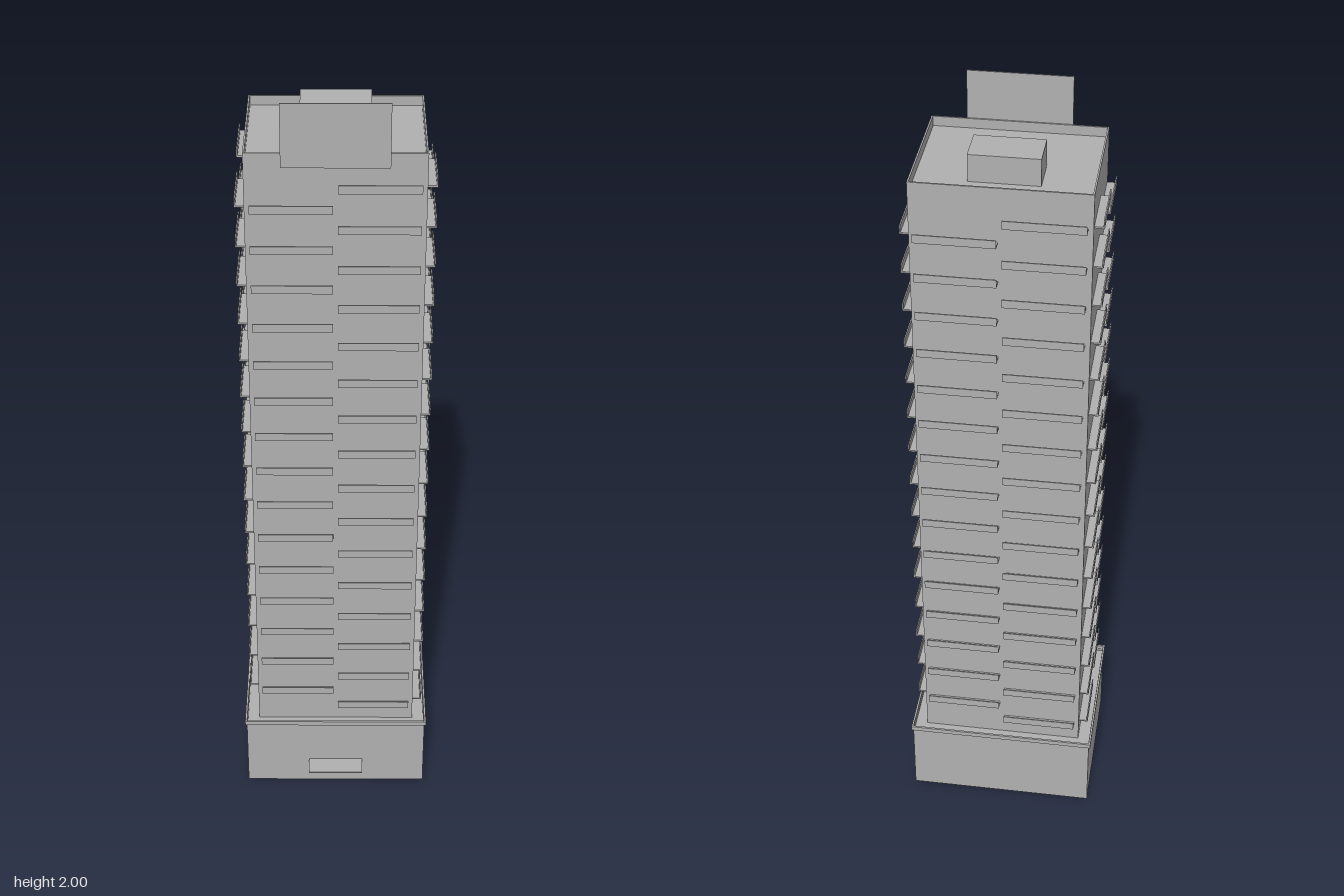
import * as THREE from 'three';

export function createModel() {
  const concrete = new THREE.MeshStandardMaterial({ color: 0xb0b0b0 });
  concrete.name = 'concreteGrey';

  const model = new THREE.Group();
  model.name = 'apartmentTower';

  function add(name, geometry, parent = model) {
    const mesh = new THREE.Mesh(geometry, concrete);
    mesh.name = name;
    parent.add(mesh);
    return mesh;
  }

  // Box given by its lower and upper limits on each axis
  function box(name, [x0, x1], [y0, y1], [z0, z1], parent) {
    const mesh = add(name, new THREE.BoxGeometry(x1 - x0, y1 - y0, z1 - z0), parent);
    mesh.position.set((x0 + x1) / 2, (y0 + y1) / 2, (z0 + z1) / 2);
    return mesh;
  }

  // Upright rectangular wall ring, open above and below
  function ring(name, halfX, [y0, y1], [z0, z1], t) {
    const rect = (Path, x, a, b) => new Path([
      new THREE.Vector2(-x, -b), new THREE.Vector2(x, -b),
      new THREE.Vector2(x, -a), new THREE.Vector2(-x, -a),
    ]);
    const shape = rect(THREE.Shape, halfX, z0, z1);
    shape.holes.push(rect(THREE.Path, halfX - t, z0 + t, z1 - t));
    const geometry = new THREE.ExtrudeGeometry(shape, { depth: y1 - y0, bevelEnabled: false });
    geometry.rotateX(-Math.PI / 2);
    add(name, geometry).position.y = y0;
  }

  // Hollow podium with a projecting rim around a sunken deck
  ring('podiumWalls', 0.2405, [0, 0.206], [-0.218, 0.169], 0.002);
  ring('podiumRim', 0.245, [0.204, 0.217], [-0.222, 0.173], 0.005);
  box('podiumDeck', [-0.239, 0.239], [0.196, 0.2], [-0.2165, 0.1675]);
  box('entranceCanopy', [-0.0725, 0.0725], [0.073, 0.077], [0.169, 0.221]);

  // Tower shaft, parapet and roof structures
  const halfX = 0.208, back = -0.184, front = 0.136;
  box('towerShaft', [-halfX, halfX], [0.2, 1.856], [back, front]);
  ring('roofParapet', halfX, [1.856, 1.88], [back, front], 0.004);
  box('roofPlantRoom', [-0.083, 0.083], [1.856, 1.923], [-0.12, -0.026]);
  box('roofScreen', [-0.124, 0.124], [1.845, 2], [front, front + 0.003]);

  // Balcony: floor slab with an upright front panel, facing +z from the origin
  function balcony(width, parent) {
    const group = new THREE.Group();
    group.name = 'balcony';
    box('balconySlab', [-width / 2, width / 2], [0, 0.004], [0, 0.0235], group);
    box('balconyPanel', [-width / 2, width / 2], [0, 0.021], [0.0205, 0.0235], group);
    parent.add(group);
    return group;
  }

  // Two staggered stacks per facade: even floors on one half, odd on the other
  const midZ = -0.0245;
  const facades = [
    { name: 'frontBalconies', turn: 0, x: 0, z: front, width: 0.19, offset: 0.101, evenSide: 1 },
    { name: 'backBalconies', turn: Math.PI, x: 0, z: back, width: 0.19, offset: 0.101, evenSide: 1 },
    { name: 'leftBalconies', turn: Math.PI / 2, x: halfX, z: midZ, width: 0.141, offset: 0.0775, evenSide: -1 },
    { name: 'rightBalconies', turn: -Math.PI / 2, x: -halfX, z: midZ, width: 0.141, offset: 0.0775, evenSide: -1 },
  ];
  for (const f of facades) {
    const facade = new THREE.Group();
    facade.name = f.name;
    facade.position.set(f.x, 0, f.z);
    facade.rotation.y = f.turn;
    for (let floor = 0; floor < 31; floor++) {
      const side = floor % 2 === 0 ? f.evenSide : -f.evenSide;
      balcony(f.width, facade).position.set(side * f.offset, 0.255 + floor * 0.0512, 0);
    }
    model.add(facade);
  }

  return model;
}
